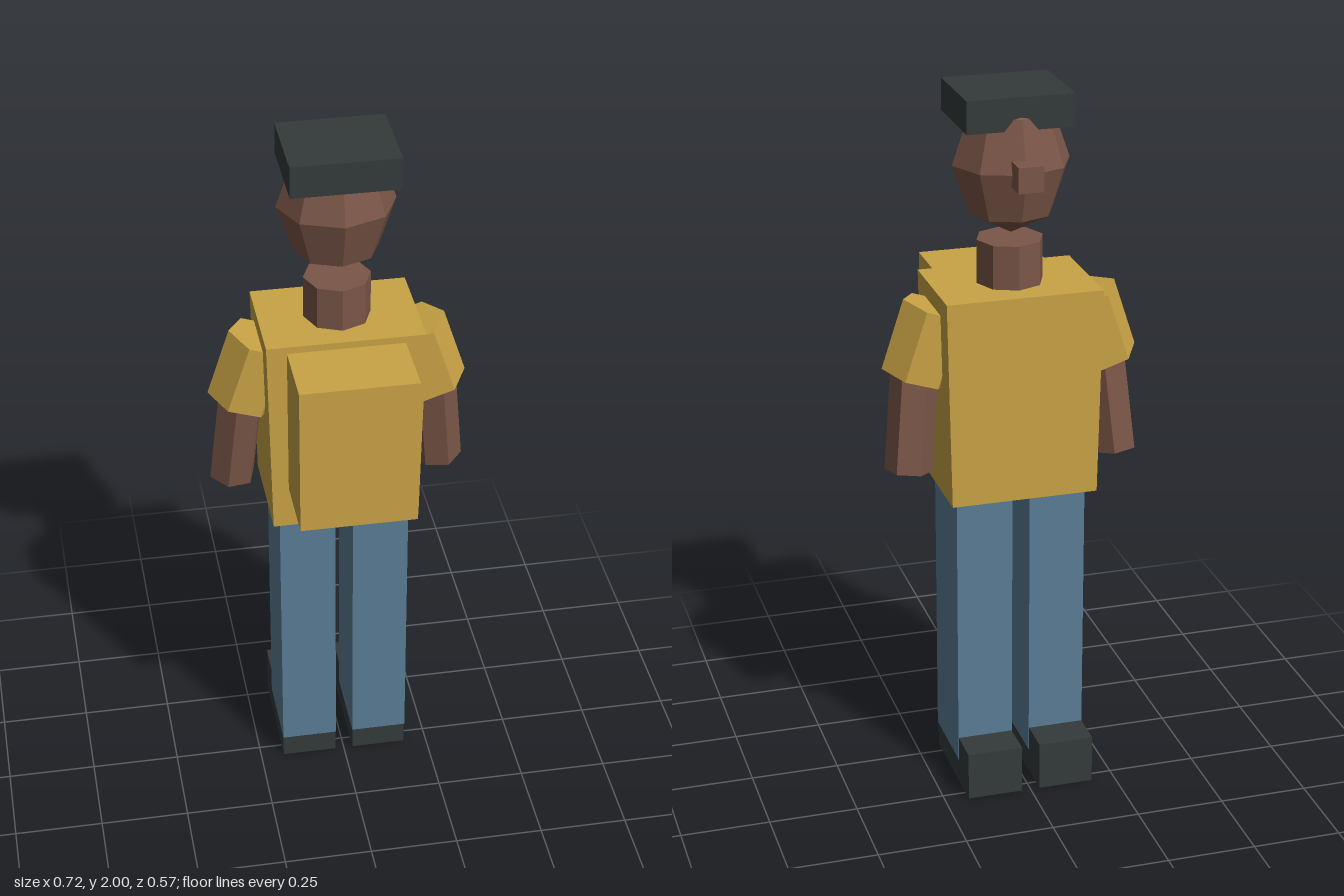
import * as THREE from 'three';

export function createModel() {
  const model = new THREE.Group();
  const paint = (name, color) => {
    const m = new THREE.MeshStandardMaterial({ color, flatShading: true });
    m.name = name;
    return m;
  };
  const yellow = paint('mustard cloth', 0xc9a345);
  const skin = paint('brown skin', 0x7b5648);
  const denim = paint('blue denim', 0x5a7d96);
  const dark = paint('charcoal', 0x343b3b);

  const add = (name, geometry, material) => {
    const mesh = new THREE.Mesh(geometry, material);
    mesh.name = name;
    model.add(mesh);
    return mesh;
  };

  // Box given by its minimum and maximum corners
  const box = (name, material, [x0, y0, z0], [x1, y1, z1]) => {
    const mesh = add(name, new THREE.BoxGeometry(x1 - x0, y1 - y0, z1 - z0), material);
    mesh.position.set((x0 + x1) / 2, (y0 + y1) / 2, (z0 + z1) / 2);
    return mesh;
  };

  // Six-sided limb running from a top point to a bottom point
  const limb = (name, material, top, bottom, radius, turn) => {
    const a = new THREE.Vector3(...top);
    const b = new THREE.Vector3(...bottom);
    const axis = a.clone().sub(b);
    const geometry = new THREE.CylinderGeometry(radius, radius, axis.length(), 6, 1, false, turn);
    const mesh = add(name, geometry, material);
    mesh.position.copy(a).add(b).multiplyScalar(0.5);
    mesh.quaternion.setFromUnitVectors(new THREE.Vector3(0, 1, 0), axis.normalize());
  };

  // Torso, slightly narrower at the waist
  const torso = box('torso', yellow, [-0.218, 0.88, -0.222], [0.218, 1.465, 0.083]);
  const p = torso.geometry.attributes.position;
  for (let i = 0; i < p.count; i++) if (p.getY(i) < 0) p.setX(i, p.getX(i) * 0.945);
  torso.geometry.computeVertexNormals();

  box('backpack', yellow, [-0.162, 1.005, 0.08], [0.162, 1.445, 0.285]);

  // Neck, head, nose and flat cap
  add('neck', new THREE.CylinderGeometry(0.093, 0.093, 0.145, 8), skin)
    .position.set(0, 1.515, -0.068);
  const head = add('head', new THREE.SphereGeometry(1, 8, 4), skin);
  head.scale.set(0.163, 0.197, 0.145);
  head.position.set(0, 1.802, -0.08);
  box('nose', skin, [-0.035, 1.768, -0.268], [0.035, 1.838, -0.19]);
  box('cap', dark, [-0.148, 1.91, -0.175], [0.148, 2, 0.078]);

  // Arms and legs, mirrored
  for (const s of [-1, 1]) {
    const side = s > 0 ? 'left' : 'right';
    limb(side + 'Sleeve', yellow, [s * 0.208, 1.41, -0.07], [s * 0.271, 1.217, -0.07], 0.095, s * Math.PI / 2);
    limb(side + 'Forearm', skin, [s * 0.27, 1.23, -0.07], [s * 0.297, 0.952, -0.096], 0.066, s * (Math.PI / 2 - 0.24));
    const x0 = Math.min(s * 0.025, s * 0.184);
    const x1 = Math.max(s * 0.025, s * 0.184);
    box(side + 'Leg', denim, [x0, 0.07, -0.182], [x1, 0.885, 0.048]);
    box(side + 'Shoe', dark, [x0 + 0.001, 0, -0.285], [x1 - 0.001, 0.14, 0.043]);
  }
  return model;
}
